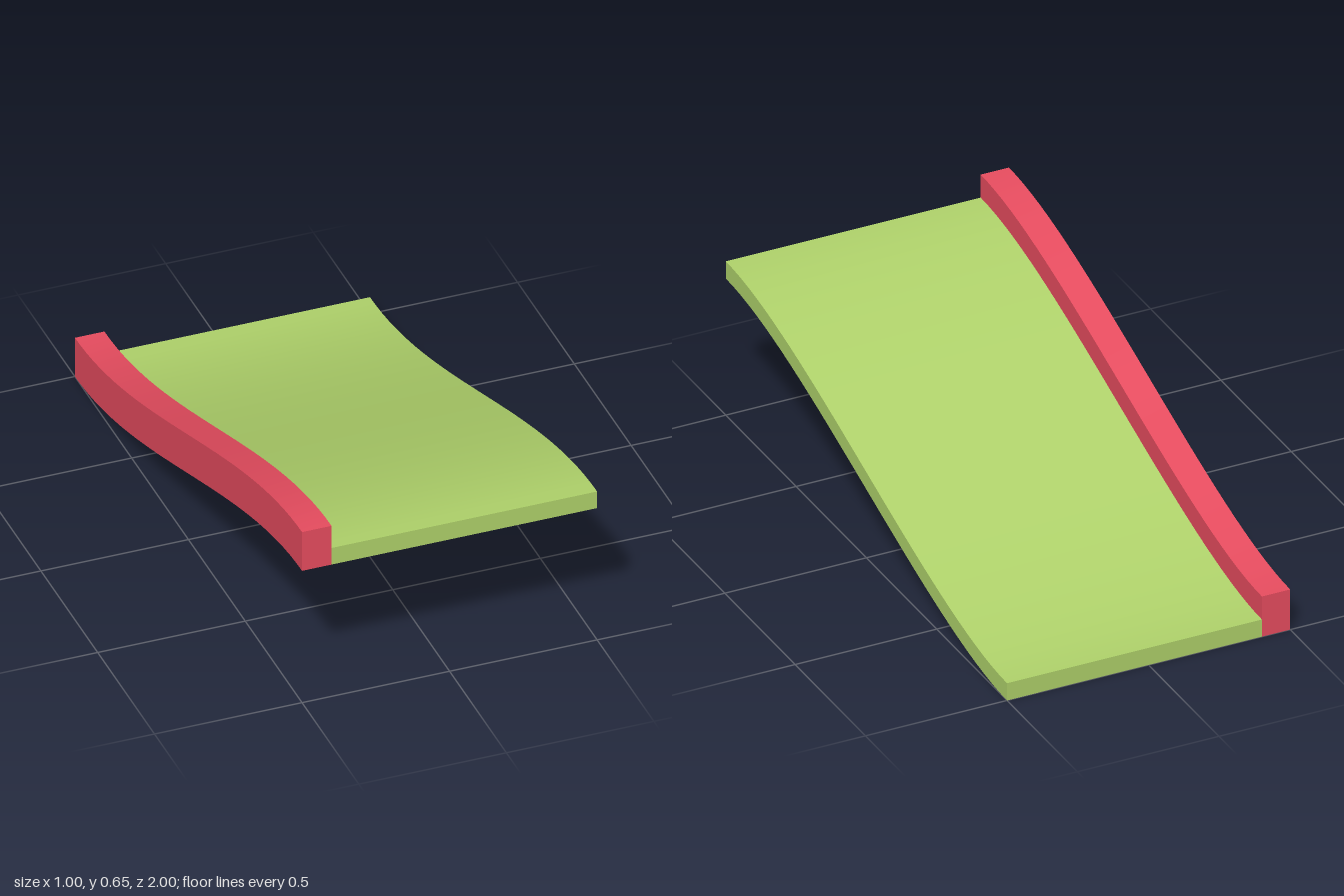
import * as THREE from 'three';

const green = new THREE.MeshStandardMaterial({ color: 0xb0d36b });
const red = new THREE.MeshStandardMaterial({ color: 0xe94d60 });

// Side profile of the underside: x holds z, y holds height
const slope = new THREE.CubicBezierCurve(
  new THREE.Vector2(-1, 0), new THREE.Vector2(-0.45, 0),
  new THREE.Vector2(0.45, 0.5), new THREE.Vector2(1, 0.5));

// Box bent along the slope; sides lists the faces kept (0 +x, 1 -x, 2 +y, 3 -y, 4 +z, 5 -z)
function slopedPart(name, material, x0, x1, y0, y1, sides) {
  const g = new THREE.BoxGeometry(x1 - x0, y1 - y0, 2, 1, 1, 32);
  g.translate((x0 + x1) / 2, (y0 + y1) / 2, 0);
  const p = g.attributes.position;
  for (let i = 0; i < p.count; i++) {
    const s = slope.getPoint((p.getZ(i) + 1) / 2);
    p.setY(i, p.getY(i) + s.y);
    p.setZ(i, s.x);
  }
  g.computeVertexNormals();
  const index = Array.from(g.index.array);
  g.setIndex(sides.flatMap((s) => {
    const { start, count } = g.groups[s];
    return index.slice(start, start + count);
  }));
  g.clearGroups();
  const mesh = new THREE.Mesh(g, material);
  mesh.name = name;
  return mesh;
}

export function createModel() {
  const model = new THREE.Group();
  model.name = 'slopedTrack';
  const deckTop = 0.063, wallTop = 0.147, inner = -0.4;
  model.add(
    // Green running surface with its outer edge and ends
    slopedPart('deck', green, inner, 0.5, 0, deckTop, [0, 2, 4, 5]),
    // Red underside across the whole width
    slopedPart('underside', red, -0.5, 0.5, 0, deckTop, [3]),
    // Red wall: lower part beside the deck, upper part standing above it
    slopedPart('wallBase', red, -0.5, inner, 0, deckTop, [1, 4, 5]),
    slopedPart('wall', red, -0.5, inner, deckTop, wallTop, [0, 1, 2, 4, 5]));
  return model;
}
